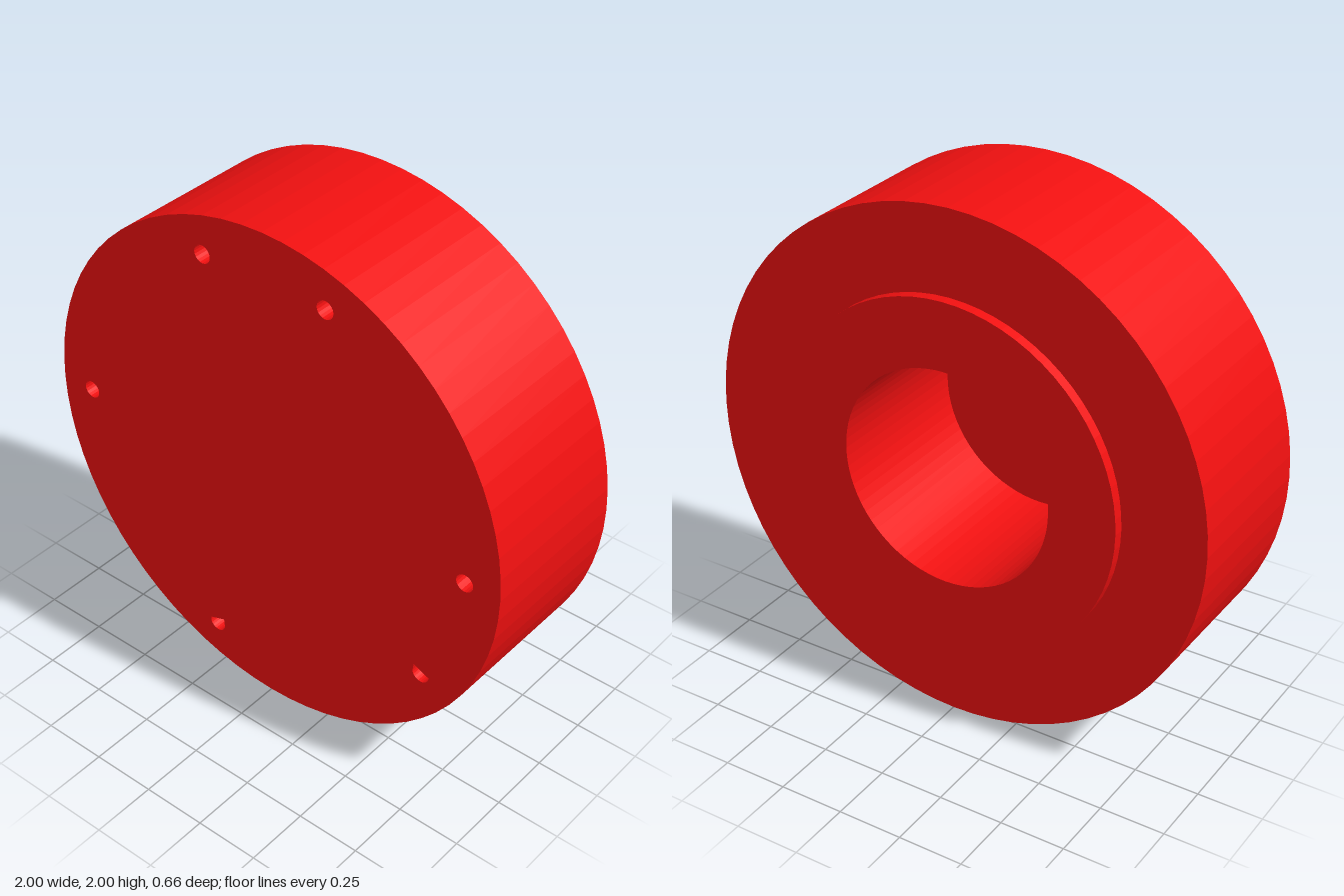
import * as THREE from 'three';

const FRONT = 0.33, BACK = -0.33, SHOULDER = -0.29, CENTER_Y = 1;
const PIN_RING = 0.857, PIN_R = 0.035, PIN_DEPTH = 0.06;
const SEGMENTS = 72;

const material = new THREE.MeshStandardMaterial({ color: 0xf01010, flatShading: true });

function addMesh(parent, name, geometry) {
  const mesh = new THREE.Mesh(geometry, material);
  mesh.name = name;
  parent.add(mesh);
  return mesh;
}

// Points of an arc, counter-clockwise from a to b
function arc(r, a, b, n) {
  return Array.from({ length: n + 1 }, (_, i) => {
    const t = a + ((b - a) * i) / n;
    return new THREE.Vector2(r * Math.cos(t), r * Math.sin(t));
  });
}

// Outline of one pin hole: round, or round with one pointed corner
function pinOutline(kind) {
  if (kind === 'cornerLeft') {
    return [...arc(PIN_R, Math.PI, Math.PI * 2, 12), new THREE.Vector2(-0.031, 0.029)];
  }
  if (kind === 'cornerRight') {
    return [...arc(PIN_R, Math.PI * 0.92, Math.PI * 2.05, 14), new THREE.Vector2(0.032, 0.032)];
  }
  return arc(PIN_R, 0, Math.PI * 2, 20).slice(0, -1);
}

// Inward-facing walls of a blind hole
function pocketWalls(points) {
  const position = [];
  points.forEach((p, i) => {
    const q = points[(i + 1) % points.length];
    const z0 = FRONT, z1 = FRONT - PIN_DEPTH;
    position.push(p.x, p.y, z0, q.x, q.y, z0, q.x, q.y, z1);
    position.push(p.x, p.y, z0, q.x, q.y, z1, p.x, p.y, z1);
  });
  const geometry = new THREE.BufferGeometry();
  geometry.setAttribute('position', new THREE.Float32BufferAttribute(position, 3));
  geometry.computeVertexNormals();
  return geometry;
}

export function createModel() {
  const group = new THREE.Group();
  group.name = 'wheelDisc';

  const disc = new THREE.Group();
  disc.name = 'disc';
  disc.position.y = CENTER_Y;
  group.add(disc);

  // Body turned from one profile: bore floor, bore wall, raised boss, shoulder, rim
  const profile = [
    [0, 0.32], [0.42, 0.32], [0.42, BACK], [0.68, BACK],
    [0.68, SHOULDER], [1, SHOULDER], [1, FRONT],
  ].map(([r, z]) => new THREE.Vector2(r, z));
  const body = new THREE.LatheGeometry(profile, SEGMENTS, Math.PI / 2);
  body.rotateX(Math.PI / 2);
  addMesh(disc, 'body', body);

  // Front face, pierced by the pin holes
  const face = new THREE.Shape(arc(1, 0, Math.PI * 2, SEGMENTS).slice(0, -1));
  const pins = [
    [0, 'round'], [72, 'round'], [108, 'round'], [180, 'round'],
    [252, 'cornerRight'], [324, 'cornerLeft'],
  ];
  for (const [degrees, kind] of pins) {
    const a = THREE.MathUtils.degToRad(degrees);
    const center = new THREE.Vector2(PIN_RING * Math.cos(a), PIN_RING * Math.sin(a));
    const points = pinOutline(kind).map((p) => p.add(center));
    face.holes.push(new THREE.Path(points));

    addMesh(disc, 'pinHoleWall', pocketWalls(points));
    const floor = addMesh(disc, 'pinHoleFloor', new THREE.ShapeGeometry(new THREE.Shape(points)));
    floor.position.z = FRONT - PIN_DEPTH;
  }
  addMesh(disc, 'frontFace', new THREE.ShapeGeometry(face)).position.z = FRONT;

  return group;
}
